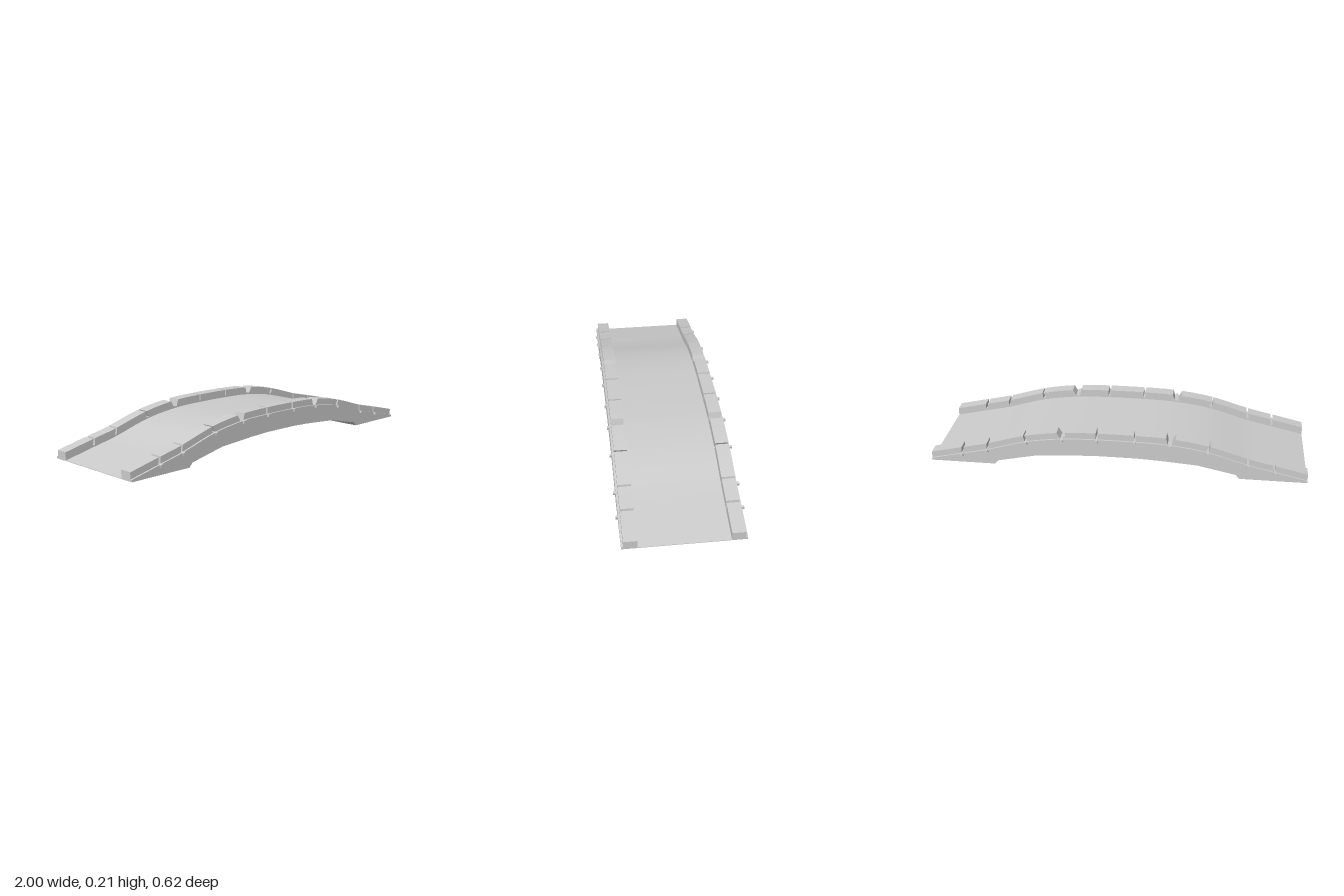
import * as THREE from 'three';
import { toCreasedNormals } from 'three/addons/utils/BufferGeometryUtils.js';

// Half of the roadway's upper line, from the crown to the foot
const half = [[0.1, 0.172], [0.28, 0.165], [0.48, 0.135], [0.69, 0.074], [0.83, 0.042], [1, 0.003]];
const mirrored = (pts) => [...pts].reverse().map(([x, y]) => [-x, y]).concat(pts);
const crown = new THREE.SplineCurve(mirrored(half).map(([x, y]) => new THREE.Vector2(x, y)));
const line = crown.getPoints(55);

// Height of the roadway at x
function roadY(x) {
  for (let i = 1; i < line.length; i++) {
    const a = line[i - 1], b = line[i];
    if (x <= b.x + 1e-6) return a.y + (b.y - a.y) * (x - a.x) / (b.x - a.x);
  }
  return line[line.length - 1].y;
}

export function createModel() {
  const group = new THREE.Group();
  const material = new THREE.MeshStandardMaterial({ color: 0xcccccc });

  const add = (name, geometry, parent) => {
    const mesh = new THREE.Mesh(geometry, material);
    mesh.name = name;
    parent.add(mesh);
    return mesh;
  };
  // Side outline extruded from z0 to z1
  const slab = (pts, z0, z1) => {
    const shape = new THREE.Shape(pts.map(([x, y]) => new THREE.Vector2(x, y)));
    const g = new THREE.ExtrudeGeometry(shape, { depth: z1 - z0, bevelEnabled: false });
    g.translate(0, 0, z0);
    return toCreasedNormals(g, 0.25);
  };
  // Points following the roadway between two x positions
  const follow = (x0, x1, lift, n) => Array.from({ length: n + 1 }, (_, i) => {
    const x = x0 + (x1 - x0) * i / n;
    return [x, roadY(x) + lift];
  });

  // Arched deck with flat feet
  const under = mirrored([[0.1, 0.085], [0.22, 0.08], [0.43, 0.065], [0.63, 0.022], [0.65, 0], [1, 0]]);
  add('deck', slab([...under, ...follow(1, -1, 0, 50)], -0.3, 0.3), group);

  // Parapet blocks on the +x half: bottom start, bottom end, top start, top end
  const blocks = [
    [0.105, 0.272, 0.105, 0.263],
    [0.293, 0.468, 0.312, 0.485],
    [0.485, 0.685, 0.492, 0.682],
    [0.695, 0.823, 0.692, 0.82],
    [0.835, 1, 0.832, 1],
  ];
  const all = [[-0.095, 0.095, -0.095, 0.095], ...blocks,
    ...blocks.map(([a, b, c, d]) => [-b, -a, -d, -c])];
  const joints = [0.1, 0.282, 0.475, 0.69, 0.829];

  for (const side of [1, -1]) {
    const parapet = new THREE.Group();
    parapet.name = side > 0 ? 'frontParapet' : 'backParapet';
    const span = (inner, outer) => (side > 0 ? [inner, outer] : [-outer, -inner]);

    // Thin kerb under the blocks
    add('kerb', slab([...follow(-1, 1, -0.001, 50), ...follow(1, -1, 0.008, 50)],
      ...span(0.223, 0.3)), parapet);

    for (const [b0, b1, t0, t1] of all) {
      add('parapetBlock', slab([...follow(b0, b1, 0.007, 3), ...follow(t1, t0, 0.042, 3)],
        ...span(0.223, 0.29)), parapet);
    }

    // Cross pegs poking out at each joint
    for (const j of joints) for (const x of [j, -j]) {
      const peg = add('peg', new THREE.BoxGeometry(0.013, 0.014, 0.088), parapet);
      peg.position.set(x, roadY(x) + 0.002, side * 0.268);
      peg.rotation.z = Math.atan2(roadY(x + 0.02) - roadY(x - 0.02), 0.04);
    }
    group.add(parapet);
  }
  return group;
}
